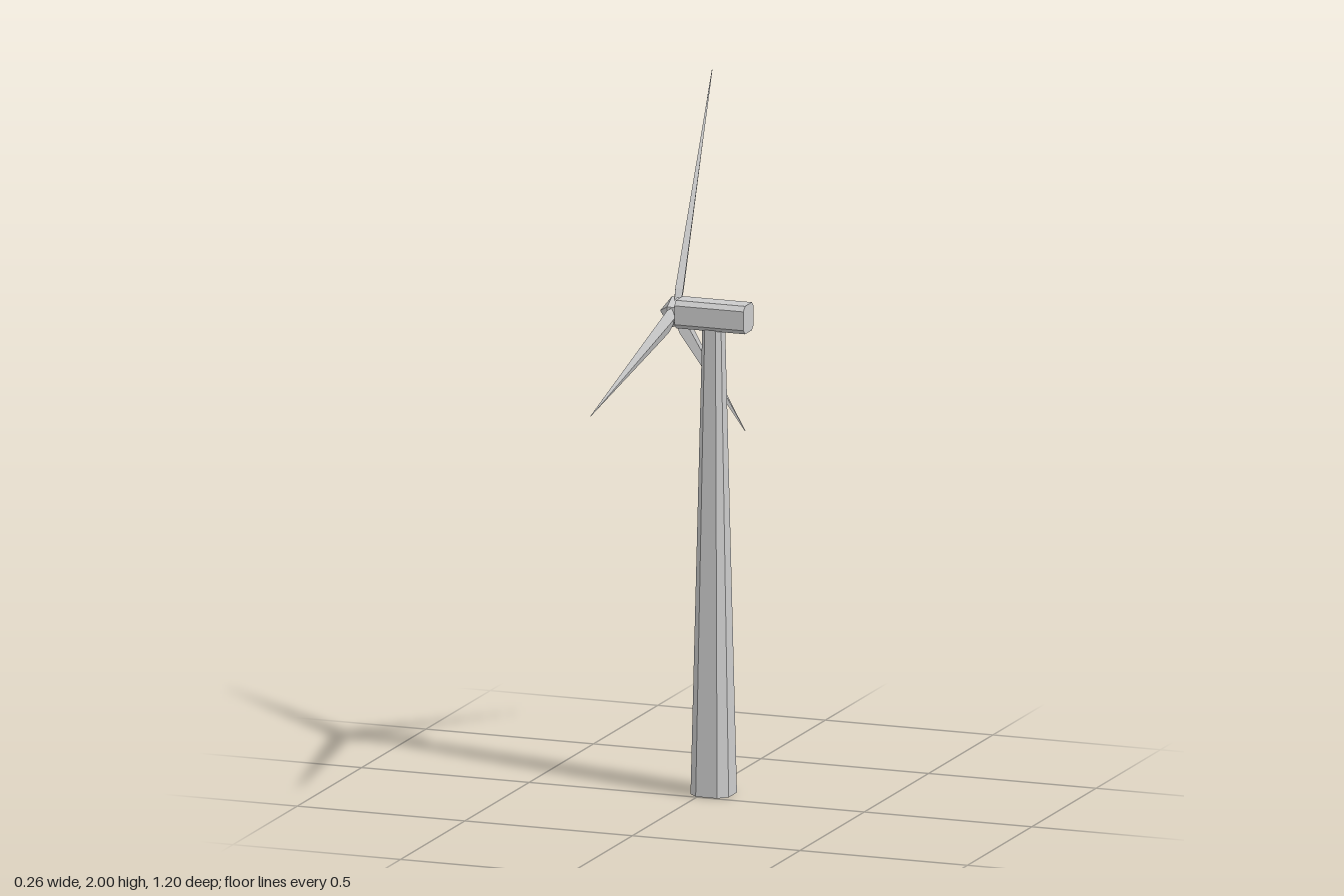
import * as THREE from 'three';

const V = (x, y, z) => new THREE.Vector3(x, y, z);
const X = V(1, 0, 0), Y = V(0, 1, 0), Z = V(0, 0, 1);
const material = new THREE.MeshStandardMaterial({ color: 0xcccccc, flatShading: true });

// Places a 2D outline in space; the outline runs counterclockwise around u x v
const ring = (centre, u, v, outline) =>
  outline.map(([a, b]) => centre.clone().addScaledVector(u, a).addScaledVector(v, b));

// Square with cut corners: half size h, half flat f
const cutSquare = (h, f) => [[h, -f], [h, f], [f, h], [-f, h], [-h, f], [-h, -f], [-f, -h], [f, -h]];

const polygon = (r, n) => Array.from({ length: n }, (_, i) => {
  const a = (i / n) * Math.PI * 2;
  return [r * Math.cos(a), r * Math.sin(a)];
});

// Diamond blade section: half thickness t, half chord c
const diamond = (t, c) => [[t, 0], [0, c], [-t, 0], [0, -c]];

// Skins a series of rings and closes both ends
function loft(name, rings) {
  const pos = [];
  const tri = (...pts) => pts.forEach((p) => pos.push(p.x, p.y, p.z));
  const n = rings[0].length;
  for (let k = 0; k < rings.length - 1; k++) {
    const a = rings[k], b = rings[k + 1];
    for (let i = 0; i < n; i++) {
      const j = (i + 1) % n;
      tri(a[i], a[j], b[j]);
      tri(a[i], b[j], b[i]);
    }
  }
  const first = rings[0], last = rings[rings.length - 1];
  for (let i = 1; i < n - 1; i++) {
    tri(first[0], first[i + 1], first[i]);
    tri(last[0], last[i], last[i + 1]);
  }
  const geometry = new THREE.BufferGeometry();
  geometry.setAttribute('position', new THREE.Float32BufferAttribute(pos, 3));
  geometry.computeVertexNormals();
  const mesh = new THREE.Mesh(geometry, material);
  mesh.name = name;
  return mesh;
}

export function createModel() {
  const model = new THREE.Group();
  model.name = 'windTurbine';
  const axisY = 1.368, axisZ = -0.064;

  // Tapered eight-sided tower
  model.add(loft('tower', [
    ring(V(0.027, 0, -0.062), Z, X, cutSquare(0.057, 0.032)),
    ring(V(0.027, 1.335, -0.062), Z, X, cutSquare(0.028, 0.016)),
  ]));

  // Housing with bevelled long edges
  model.add(loft('nacelle', [-0.076, 0.13].map((x) =>
    ring(V(x, axisY, axisZ), Y, Z, cutSquare(0.04, 0.027)))));

  // Rotor: pointed hub and three blades
  const rotor = new THREE.Group();
  rotor.name = 'rotor';
  rotor.position.set(-0.086, axisY, axisZ);
  model.add(rotor);

  rotor.add(loft('hub', [[-0.047, 0.001], [-0.012, 0.044], [0.012, 0.04]].map(([x, r]) =>
    ring(V(x, 0, 0), Y, Z, polygon(r, 6)))));

  // Blade tips as [y, z]
  const tips = [[2, -0.344], [1.216, 0.6], [0.909, -0.6]];
  tips.forEach(([y, z], i) => {
    const dir = V(0, y - axisY, z - axisZ);
    const length = dir.length();
    dir.normalize();
    const chord = dir.clone().cross(X);
    // [distance from axis, half thickness, half chord]
    const sections = [[0.01, 0.01, 0.022], [0.065, 0.011, 0.034], [length, 0.001, 0.001]];
    rotor.add(loft('blade' + (i + 1), sections.map(([r, t, c]) =>
      ring(dir.clone().multiplyScalar(r), X, chord, diamond(t, c)))));
  });

  return model;
}
